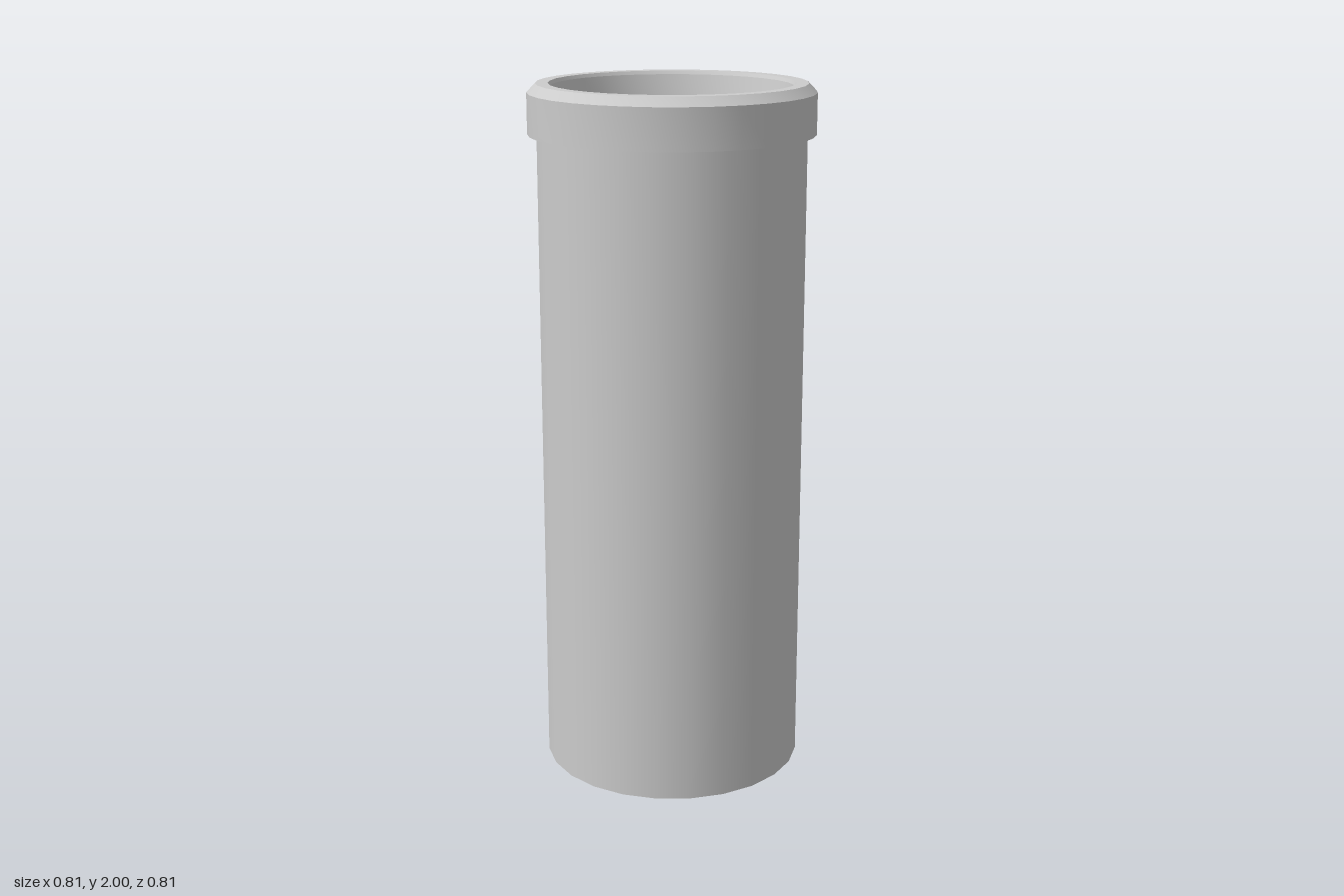
import * as THREE from 'three';
import { toCreasedNormals } from 'three/addons/utils/BufferGeometryUtils.js';

export function createModel() {
  const model = new THREE.Group();
  const material = new THREE.MeshStandardMaterial({ color: 0xcccccc, side: THREE.DoubleSide });

  const add = (name, geometry, y = 0) => {
    const mesh = new THREE.Mesh(geometry, material);
    mesh.name = name;
    mesh.position.y = y;
    model.add(mesh);
    return mesh;
  };

  // Straight tube, open at the bottom and reaching up inside the cap
  const tubeHeight = 1.97;
  add('tube', new THREE.CylinderGeometry(0.378, 0.378, tubeHeight, 24, 1, true), tubeHeight / 2);

  // Cap rim: skirt open underneath, chamfered top, flat lip, tapered recess wall
  const profile = [
    [0.403, 1.86], [0.403, 1.975], [0.379, 2], [0.344, 2], [0.339, 1.99], [0.325, 1.91],
  ].map(([r, y]) => new THREE.Vector2(r, y));
  add('capRim', toCreasedNormals(new THREE.LatheGeometry(profile, 32), 0.24));

  // Recessed floor of the cap
  add('capFloor', new THREE.CircleGeometry(0.325, 32).rotateX(-Math.PI / 2), 1.91);

  return model;
}
